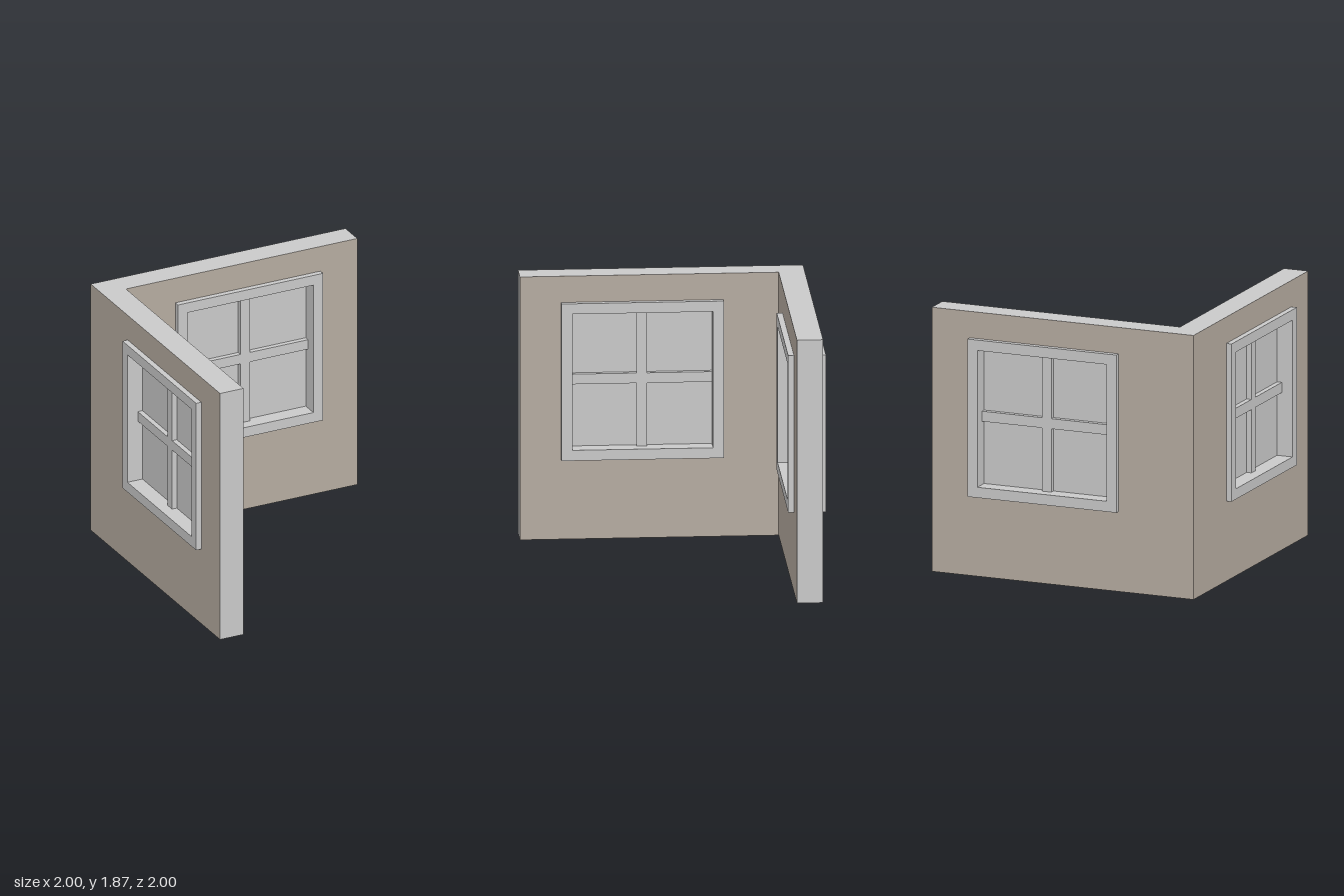
import * as THREE from 'three';

const HEIGHT = 1.87;
const OUTER = -0.96, INNER = -0.78, END = 1;   // wall planes and free end
const WIN_U = 0.158, WIN_Y = 1.125;            // window centre on a wall
const FRAME = 0.558, OPENING = 0.484, BAR = 0.036; // half sizes

const plaster = new THREE.MeshStandardMaterial({ color: 0xb5aba0 });
plaster.name = 'plaster';
const trim = new THREE.MeshStandardMaterial({ color: 0xc9c9c9 });
trim.name = 'lightGrey';

const points = (list) => list.map(([x, y]) => new THREE.Vector2(x, y));
const rect = (x0, y0, x1, y1) => points([[x0, y0], [x1, y0], [x1, y1], [x0, y1]]);

function named(name, geometry, material) {
  const mesh = new THREE.Mesh(geometry, material);
  mesh.name = name;
  return mesh;
}

// Extrudes an outline symmetrically about z = 0
function slab(outline, depth, hole) {
  const shape = new THREE.Shape(outline);
  if (hole) shape.holes.push(new THREE.Path(hole));
  const geometry = new THREE.ExtrudeGeometry(shape, { depth, bevelEnabled: false });
  geometry.translate(0, 0, -depth / 2);
  return geometry;
}

// Window centred on its own origin, the same on both sides
function makeWindow() {
  const group = new THREE.Group();
  group.name = 'window';
  const o = OPENING, b = BAR;
  group.add(named('windowFrame', slab(rect(-FRAME, -FRAME, FRAME, FRAME), 0.26, rect(-o, -o, o, o)), trim));
  group.add(named('windowPane', new THREE.BoxGeometry(2 * o, 2 * o, 0.028), trim));
  const cross = points([
    [-o, -b], [-b, -b], [-b, -o], [b, -o], [b, -b], [o, -b],
    [o, b], [b, b], [b, o], [-b, o], [-b, b], [-o, b],
  ]);
  group.add(named('glazingBars', slab(cross, 0.1), trim));
  return group;
}

// Wall running along x; side = 1 puts the corner at -x, side = -1 at +x
function makeWall(name, side) {
  const group = new THREE.Group();
  group.name = name;
  const h = (FRAME + OPENING) / 2; // hole edge hidden inside the frame
  const u = side * WIN_U;
  const geometry = slab(
    rect(side * OUTER, 0, side * END, HEIGHT), INNER - OUTER,
    rect(u - h, WIN_Y - h, u + h, WIN_Y + h));

  // Mitre the corner end so the two walls meet cleanly
  const pos = geometry.attributes.position;
  for (let i = 0; i < pos.count; i++) {
    if (pos.getZ(i) > 0 && Math.abs(pos.getX(i) - side * OUTER) < 1e-4) pos.setX(i, side * INNER);
  }
  geometry.translate(0, 0, (OUTER + INNER) / 2);
  group.add(named('wallPanel', geometry, [plaster, trim]));

  const pane = makeWindow();
  pane.position.set(u, WIN_Y, (OUTER + INNER) / 2);
  group.add(pane);
  return group;
}

export function createModel() {
  const model = new THREE.Group();
  model.name = 'cornerWalls';
  model.add(makeWall('backWall', 1));
  const sideWall = makeWall('sideWall', -1);
  sideWall.rotation.y = Math.PI / 2;
  model.add(sideWall);
  return model;
}
